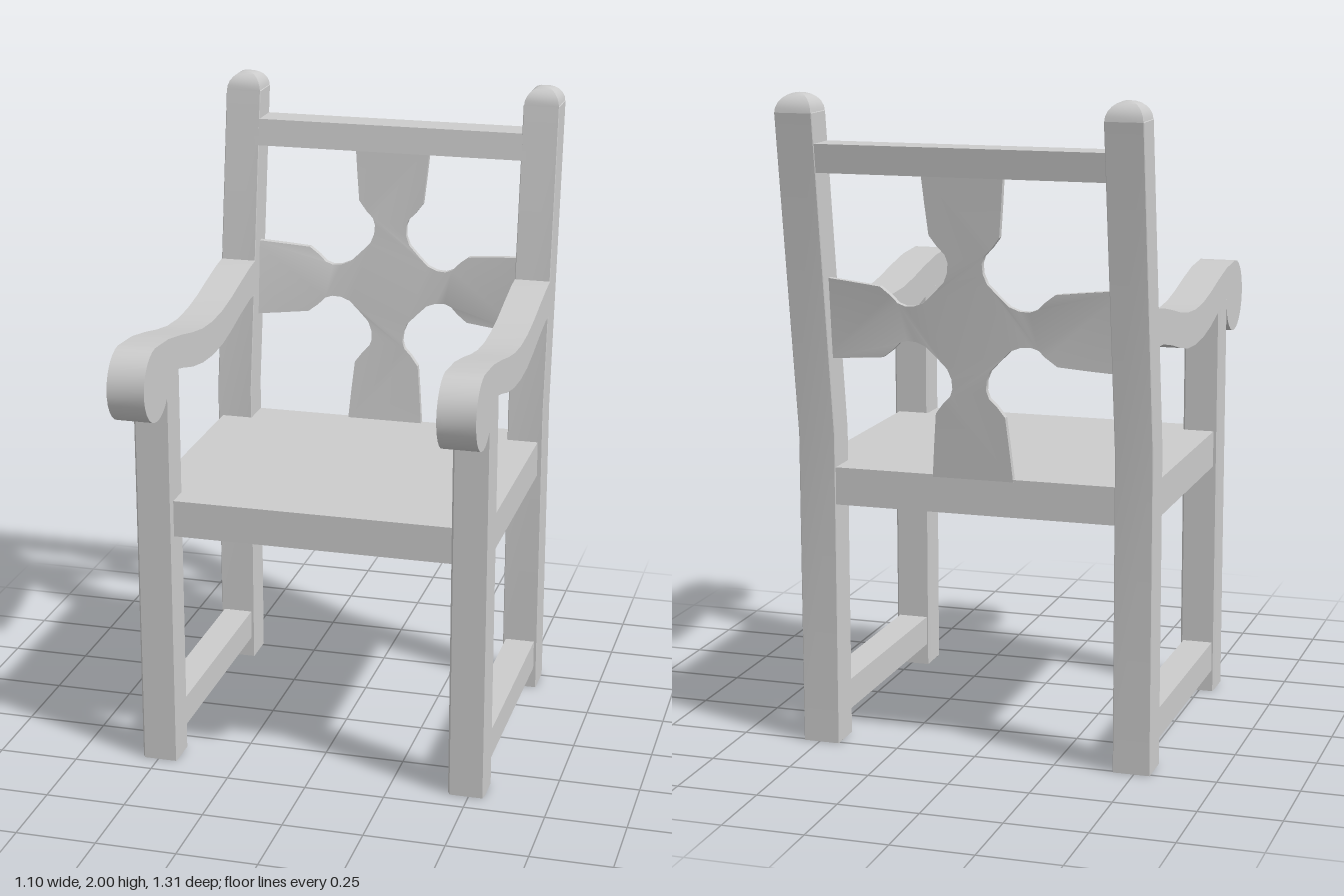
import * as THREE from 'three';
import { toCreasedNormals } from 'three/addons/utils/BufferGeometryUtils.js';

const material = new THREE.MeshStandardMaterial({ color: 0xcccccc });
const V = (x, y) => new THREE.Vector2(x, y);

function part(name, geometry, x = 0, y = 0, z = 0) {
  const mesh = new THREE.Mesh(geometry, material);
  mesh.name = name;
  mesh.position.set(x, y, z);
  return mesh;
}

// Extrudes a (z, y) side profile across the width, centred on x = 0
function sideExtrude(shape, width, bevel = 0) {
  const g = new THREE.ExtrudeGeometry(shape, {
    depth: width - 2 * bevel, bevelEnabled: bevel > 0, bevelThickness: bevel,
    bevelSize: bevel, bevelOffset: -bevel, bevelSegments: 1, curveSegments: 16,
  });
  g.translate(0, 0, bevel - width / 2);
  g.rotateY(-Math.PI / 2);
  return toCreasedNormals(g, 0.5);
}

const polygon = (pts) => new THREE.Shape(pts.map(([a, b]) => V(a, b)));

const POST_X = 0.4925, POST_W = 0.115;

// Armrest: wavy bar ending in a round scroll
function armShape() {
  const s = new THREE.Shape();
  s.moveTo(-0.48, 1.285);
  s.lineTo(-0.48, 1.397);
  s.splineThru([[-0.4, 1.386], [-0.3, 1.365], [-0.2, 1.342], [-0.1, 1.326], [0, 1.32],
    [0.1, 1.326], [0.2, 1.343], [0.3, 1.365], [0.42, 1.387], [0.51, 1.396]].map((p) => V(...p)));
  s.absarc(0.537, 1.283, 0.116, 1.8, 2 * Math.PI - 0.02 - Math.PI * 2, true);
  return s;
}

function createArm() {
  // Bar and scroll are traced as one outline
  const bar = [[-0.48, 1.285], [-0.48, 1.397], [-0.4, 1.386], [-0.3, 1.365], [-0.2, 1.342],
    [-0.1, 1.326], [0, 1.32], [0.1, 1.326], [0.2, 1.343], [0.3, 1.365], [0.42, 1.387]];
  const under = [[0.42, 1.285], [0.3, 1.26], [0.2, 1.233], [0.1, 1.216], [0, 1.21],
    [-0.1, 1.216], [-0.2, 1.235], [-0.3, 1.26], [-0.4, 1.28]];
  const scroll = [];
  for (let i = 0; i <= 20; i++) {
    const a = 1.75 - (i / 20) * (1.75 + Math.PI - 0.2);
    scroll.push([0.537 + 0.114 * Math.cos(a), 1.281 + 0.114 * Math.sin(a)]);
  }
  return sideExtrude(polygon([...bar, ...scroll, ...under]), POST_W);
}

// Pierced cross-shaped back splat, leaning back and slightly bowed
function createSplat() {
  const half = [[0.095, 0.1], [0.13, 0.066], [0.16, 0.054], [0.19, 0.052], [0.213, 0.06],
    [0.235, 0.082], [0.268, 0.107], [0.36, 0.116], [0.465, 0.125]];
  const blade = [...half.map(([r, h]) => [r, -h]), ...half.slice(1).reverse()];
  const pts = [];
  for (let k = 0; k < 4; k++) {
    const c = Math.round(Math.cos(k * Math.PI / 2)), s = Math.round(Math.sin(k * Math.PI / 2));
    for (const [r, h] of blade) pts.push([r * c - h * s, r * s + h * c]);
  }
  const g = new THREE.ExtrudeGeometry(polygon(pts), { depth: 0.02, bevelEnabled: false });
  const p = g.attributes.position;
  for (let i = 0; i < p.count; i++) {
    const x = p.getX(i), y = p.getY(i);
    p.setZ(i, p.getZ(i) - 0.1 * (y + 0.46) + 0.03 * (x / 0.44) ** 2);
  }
  return toCreasedNormals(g, 0.5);
}

export function createModel() {
  const chair = new THREE.Group();
  chair.name = 'armchair';

  // Seat slab, let into the legs
  chair.add(part('seat', new THREE.BoxGeometry(1.07, 0.115, 0.92), 0, 0.8125, -0.045));

  // Slanted top rail between the back posts
  const rail = polygon([[-0.518, 1.77], [-0.531, 1.855], [-0.638, 1.855], [-0.626, 1.77]].reverse());
  chair.add(part('topRail', sideExtrude(rail, 0.9)));

  chair.add(part('backSplat', createSplat(), 0, 1.328, -0.51));

  const frontLeg = sideExtrude(polygon([[0.33, 0], [0.43, 0], [0.43, 1.29], [0.33, 1.29]]), POST_W, 0.006);
  const backPost = sideExtrude(polygon([[-0.51, 0], [-0.4, 0], [-0.4, 0.97],
    [-0.544, 1.945], [-0.654, 1.945], [-0.51, 0.97]]), POST_W, 0.002);
  const arm = createArm();
  const stretcher = new THREE.BoxGeometry(0.095, 0.095, 0.76);

  // Rounded four-sided cap on each back post
  const capProfile = [];
  for (let i = 0; i <= 6; i++) {
    const a = (i / 6) * Math.PI / 2;
    capProfile.push(V(0.056 * Math.SQRT2 * Math.cos(a), 0.057 * Math.sin(a)));
  }
  const cap = toCreasedNormals(new THREE.LatheGeometry(capProfile, 4).rotateY(Math.PI / 4), 0.6);

  for (const [side, s] of [['left', 1], ['right', -1]]) {
    const x = s * POST_X;
    const frame = new THREE.Group();
    frame.name = side + 'SideFrame';
    frame.add(
      part('frontLeg', frontLeg, x),
      part('backPost', backPost, x),
      part('postCap', cap, x, 1.943, -0.599),
      part('armrest', arm, x),
      part('stretcher', stretcher, x, 0.118, -0.035),
    );
    chair.add(frame);
  }
  return chair;
}
